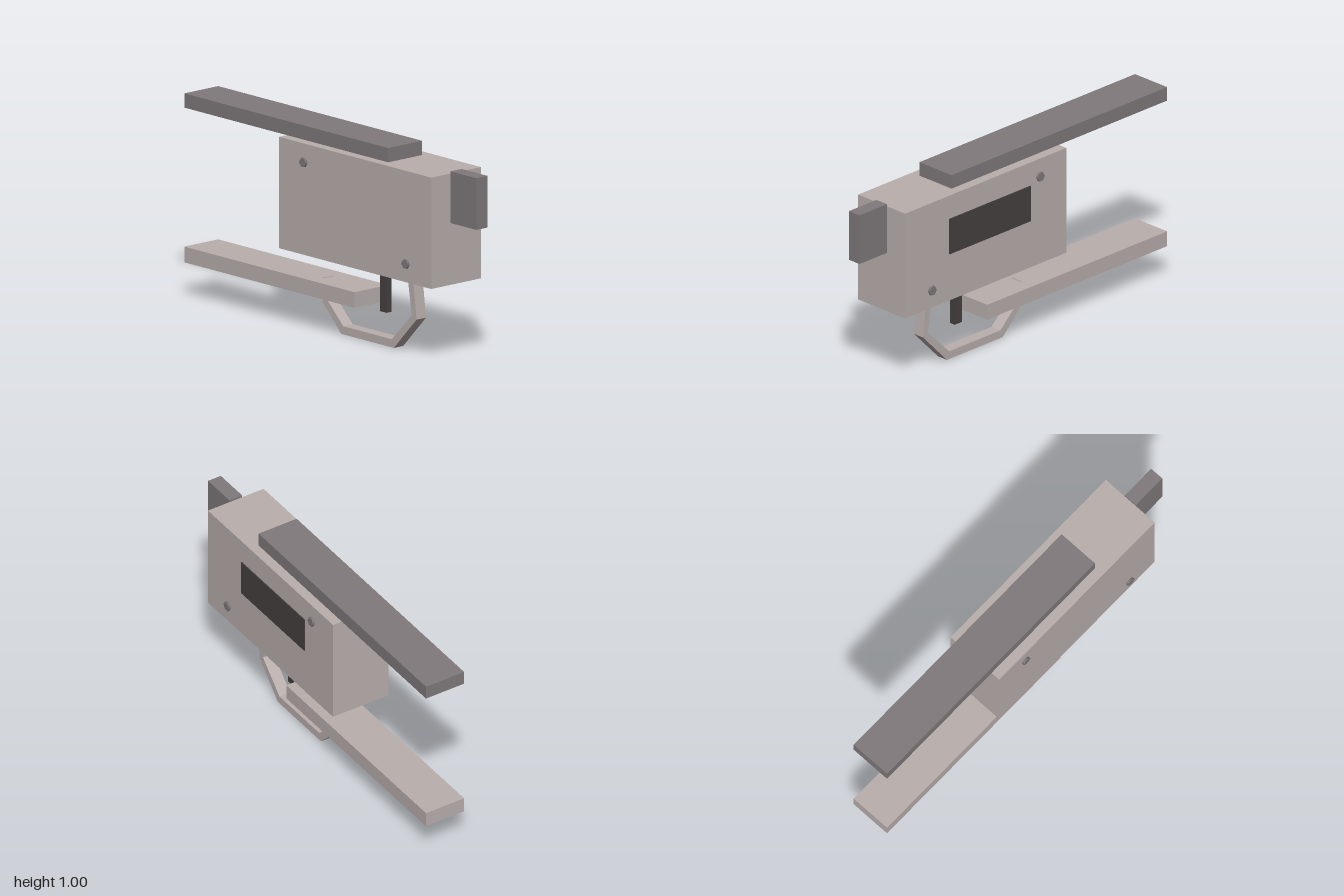
import * as THREE from 'three';

export function createModel() {
  const group = new THREE.Group();
  group.name = 'blockyModel';

  const makeMaterial = (name, color) => {
    const m = new THREE.MeshStandardMaterial({ color });
    m.name = name;
    return m;
  };
  const paleGrey = makeMaterial('paleGrey', 0xbab0ae);
  const midGrey = makeMaterial('midGrey', 0x807a7c);
  const charcoal = makeMaterial('charcoal', 0x464140);

  const add = (name, geometry, material) => {
    const mesh = new THREE.Mesh(geometry, material);
    mesh.name = name;
    group.add(mesh);
    return mesh;
  };
  // Box given by its min/max range on each axis
  const box = (name, material, [x0, x1], [y0, y1], [z0, z1]) =>
    add(name, new THREE.BoxGeometry(x1 - x0, y1 - y0, z1 - z0), material)
      .position.set((x0 + x1) / 2, (y0 + y1) / 2, (z0 + z1) / 2);

  // Main blocks
  box('body', paleGrey, [-0.158, 0.158], [0.385, 0.93], [-0.27, 0.815]);
  box('topBar', midGrey, [-0.108, 0.108], [0.93, 1], [-1, 0.452]);
  box('lowerBar', paleGrey, [-0.108, 0.108], [0.173, 0.25], [-1, 0.212]);
  box('frontBlock', midGrey, [-0.036, 0.036], [0.688, 0.941], [0.815, 1]);
  box('trigger', charcoal, [-0.016, 0.016], [0.157, 0.386], [0.29, 0.338]);

  // Thin dark panel on the left side only
  box('sidePanel', charcoal, [0.156, 0.163], [0.627, 0.81], [-0.028, 0.52]);

  // Hexagonal pins standing out on both sides
  for (const side of [-1, 1]) {
    for (const [y, z] of [[0.839, -0.09], [0.476, 0.638]]) {
      const pin = add('pin', new THREE.CylinderGeometry(0.024, 0.024, 0.04, 6), midGrey);
      pin.rotation.z = Math.PI / 2;
      pin.position.set(side * 0.15, y, z);
    }
  }

  // Angular guard loop: outline in (z, y), extruded across x
  const outline = [
    [0.54, 0.386], [0.567, 0.168], [0.405, 0], [0.03, 0], [-0.103, 0.133], [-0.123, 0.245],
    [-0.09, 0.254], [-0.071, 0.15], [0.045, 0.04], [0.39, 0.04], [0.533, 0.183], [0.5, 0.386],
  ];
  const shape = new THREE.Shape(outline.map(([z, y]) => new THREE.Vector2(z, y)));
  const guard = new THREE.ExtrudeGeometry(shape, { depth: 0.06, bevelEnabled: false });
  guard.translate(0, 0, -0.03).rotateY(-Math.PI / 2);
  add('guard', guard, paleGrey);

  return group;
}
